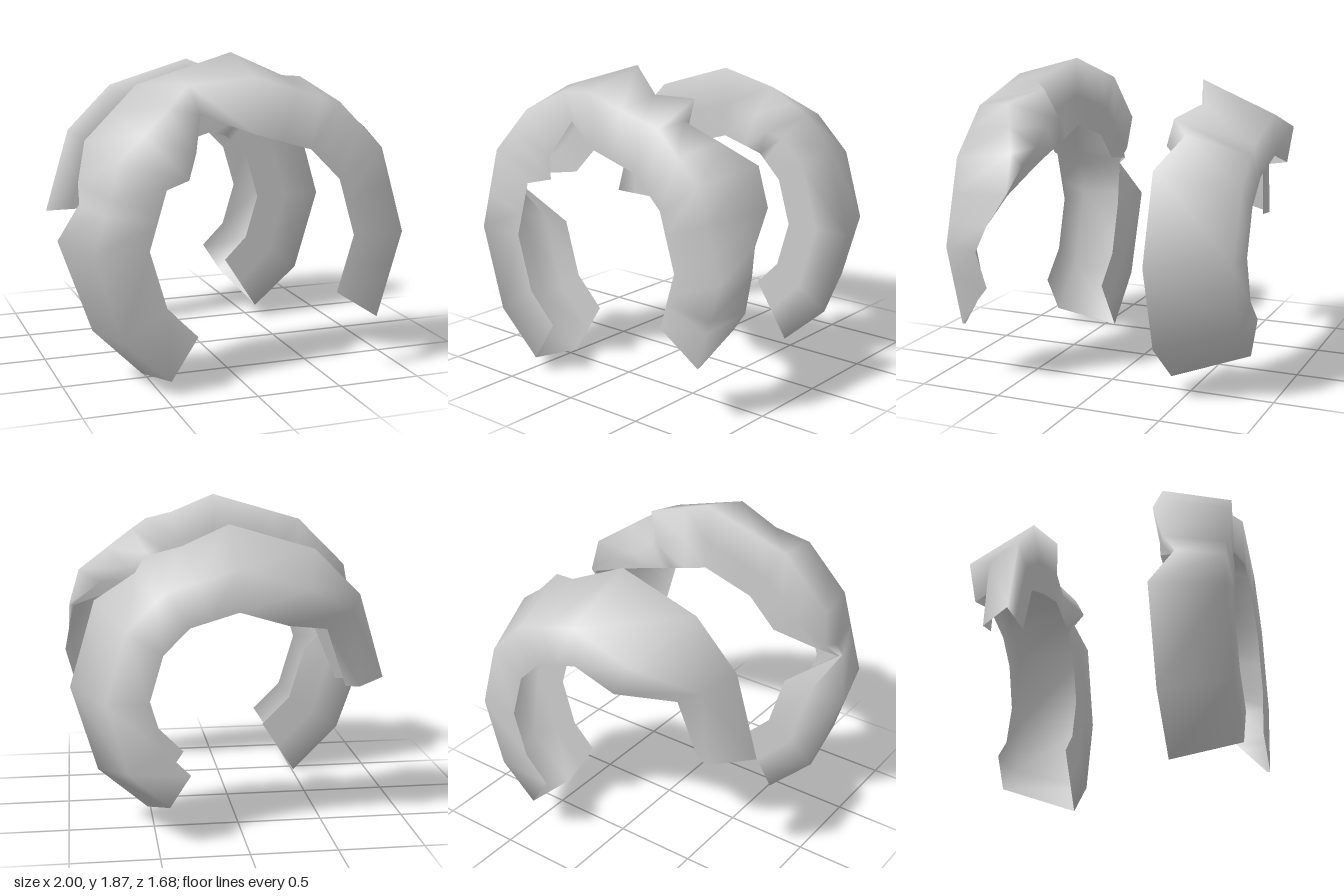
import * as THREE from 'three';

// Corner angles of the many-sided ring; stations between them stay on the straight sides
const CORNERS = [-57, -33, 0, 33, 57, 90, 123, 147, 180, 213, 237];
const rad = THREE.MathUtils.degToRad;

function sideScale(deg) {
  const i = Math.max(1, CORNERS.findIndex((c) => c >= deg));
  const half = (CORNERS[i] - CORNERS[i - 1]) / 2;
  return Math.cos(rad(half)) / Math.cos(rad(deg - CORNERS[i] + half));
}

// Sweeps an open channel (two side walls and a tread, hollow towards the middle).
// Corners are [radius, z]: 0 inner rim and 1 middle of the torn wall,
// 2 and 3 edges of the tread, 4 inner rim of the other wall.
// Each station is [angle, { corner: [radius, z] }] listing only its chipped corners.
function brokenRing(name, cx, cy, section, stations, flip) {
  const pos = [], index = [], n = section.length;
  const tri = (a, b, c) => index.push(...(flip ? [a, c, b] : [a, b, c]));
  stations.forEach(([deg, chips = {}]) => {
    const t = rad(deg), s = sideScale(deg);
    section.forEach(([baseR, baseZ], k) => {
      const [r, z] = chips[k] || [baseR * s, baseZ];
      pos.push(cx + r * Math.cos(t), cy + r * Math.sin(t), z);
    });
  });
  for (let i = 0; i < stations.length - 1; i++) {
    for (let k = 0; k < n - 1; k++) {
      const a = i * n + k, b = a + 1;
      tri(a, a + n, b);
      tri(b, a + n, b + n);
    }
  }
  const g = new THREE.BufferGeometry();
  g.setAttribute('position', new THREE.Float32BufferAttribute(pos, 3));
  g.setIndex(index);
  g.computeVertexNormals();
  const mesh = new THREE.Mesh(
    g, new THREE.MeshStandardMaterial({ color: 0xcccccc, side: THREE.DoubleSide })
  );
  mesh.name = name;
  return mesh;
}

// Station where the torn wall is missing altogether
const noWall = (r, z) => ({ 0: [r, z], 1: [r, z], 2: [r, z] });

export function createModel() {
  const group = new THREE.Group();
  group.name = 'brokenRing';

  // front half: torn rear wall, and a bite in the front wall near the top
  group.add(brokenRing('frontHalf', 0.035, 0.84,
    [[0.61, 0.435], [0.8, 0.435], [1.03, 0.435], [0.92, 0.84], [0.61, 0.84]],
    [
      [-33, noWall(0.92, 0.82)],
      [-19, noWall(0.93, 0.66)],
      [-14, noWall(0.93, 0.59)],
      [0, noWall(0.965, 0.62)],
      [9, noWall(0.95, 0.56)],
      [20, { 0: [0.96, 0.44], 1: [0.97, 0.44] }],
      [33, { 0: [0.77, 0.435], 1: [0.87, 0.435] }],
      [45, { 0: [0.67, 0.435], 2: [0.965, 0.54] }],
      [57, { 2: [0.945, 0.64], 1: [0.78, 0.44] }],
      [64, { 2: [0.98, 0.445], 1: [0.77, 0.39] }],
      [74, { 2: [0.94, 0.58], 1: [0.75, 0.5] }],
      [90],
      [111, { 3: [0.94, 0.7], 4: [0.76, 0.7] }],
      [123, { 4: [0.62, 0.82] }],
      [135, { 4: [0.52, 0.79] }],
      [147],
      [160, { 0: [0.84, 0.46], 1: [0.9, 0.49], 2: [0.98, 0.5] }],
      [166, { 0: [0.93, 0.55], 1: [0.95, 0.56], 2: [0.96, 0.57] }],
      [180],
      [213, { 2: [1.0, 0.435] }],
      [237, { 2: [1.0, 0.435], 3: [0.9, 0.84] }],
    ], false));

  // back half: narrower, cracked rim, rear wall broken off towards one end
  group.add(brokenRing('backHalf', 0.04, 0.84,
    [[0.5, -0.39], [0.7, -0.39], [0.93, -0.39], [0.74, -0.84], [0.5, -0.84]],
    [
      [-57, { 2: [0.9, -0.39], 3: [0.72, -0.84] }],
      [-33],
      [0],
      [33],
      [51, { 2: [0.87, -0.49] }],
      [57, { 1: [0.69, -0.31], 2: [0.9, -0.4] }],
      [71, { 2: [0.87, -0.5], 1: [0.69, -0.41] }],
      [90],
      [123],
      [147, { 0: [0.6, -0.39], 1: [0.75, -0.39], 3: [0.82, -0.6], 4: [0.64, -0.61] }],
      [180, { 0: [0.64, -0.39], 1: [0.78, -0.39], 3: [0.74, -0.6], 4: [0.66, -0.58] }],
    ], true));

  return group;
}
